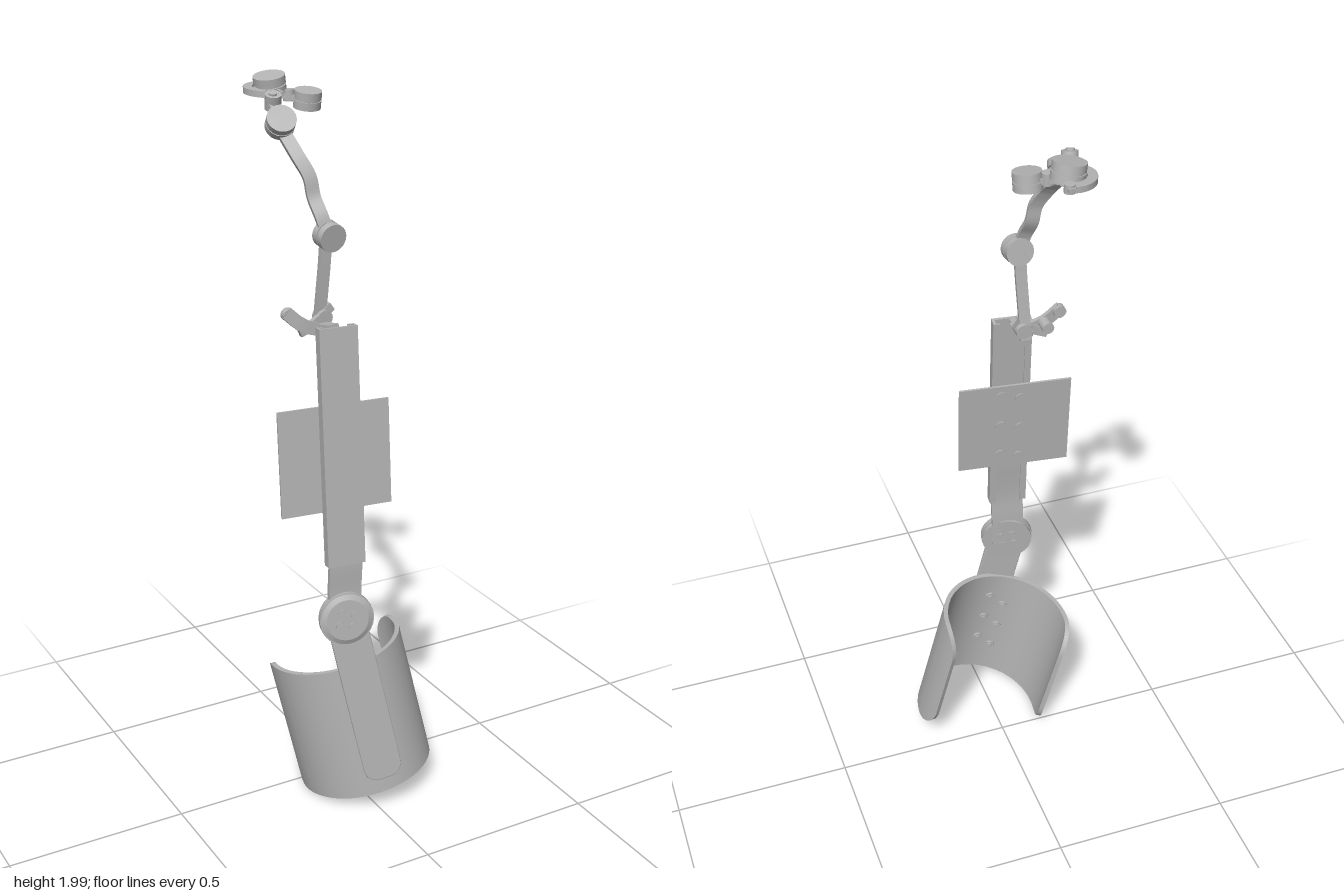
import * as THREE from 'three';
import { toCreasedNormals } from 'three/addons/utils/BufferGeometryUtils.js';

const V = (x, y, z) => new THREE.Vector3(x, y, z);

export function createModel() {
  const model = new THREE.Group();
  model.name = 'armBrace';
  const grey = new THREE.MeshStandardMaterial({ color: 0xb4b4b4 });
  grey.name = 'plain grey';

  function add(parent, name, geometry, x = 0, y = 0, z = 0) {
    const mesh = new THREE.Mesh(geometry, grey);
    mesh.name = name;
    mesh.position.set(x, y, z);
    parent.add(mesh);
    return mesh;
  }
  // Group whose y runs along "up" and whose x stays close to "side"
  function frame(name, pos, up, side) {
    const g = new THREE.Group();
    g.name = name;
    const y = up.clone().normalize();
    const x = side.clone().addScaledVector(y, -side.dot(y)).normalize();
    const z = x.clone().cross(y);
    g.quaternion.setFromRotationMatrix(new THREE.Matrix4().makeBasis(x, y, z));
    g.position.copy(pos);
    model.add(g);
    return g;
  }
  // Capped solid through four-cornered cross-sections
  function loft(sections) {
    const p = [];
    const tri = (...v) => v.forEach((q) => p.push(q.x, q.y, q.z));
    const quad = (a, b, c, d) => { tri(a, b, c); tri(a, c, d); };
    for (let i = 0; i < sections.length - 1; i++) {
      const a = sections[i], b = sections[i + 1];
      for (let k = 0; k < 4; k++) quad(a[k], a[(k + 1) % 4], b[(k + 1) % 4], b[k]);
    }
    const s = sections[0], e = sections[sections.length - 1];
    quad(s[0], s[3], s[2], s[1]);
    quad(e[0], e[1], e[2], e[3]);
    const g = new THREE.BufferGeometry();
    g.setAttribute('position', new THREE.Float32BufferAttribute(p, 3));
    return toCreasedNormals(g, 0.6);
  }
  // Flat bar swept along a smooth path
  function strip(name, points, width, thick, side, steps = 20) {
    const curve = new THREE.CatmullRomCurve3(points);
    const sections = [];
    for (let i = 0; i <= steps; i++) {
      const c = curve.getPointAt(i / steps), t = curve.getTangentAt(i / steps);
      const s = side.clone().addScaledVector(t, -side.dot(t)).normalize();
      const n = t.clone().cross(s);
      sections.push([[1, -1], [1, 1], [-1, 1], [-1, -1]].map(([a, b]) =>
        c.clone().addScaledVector(s, a * width / 2).addScaledVector(n, b * thick / 2)));
    }
    return add(model, name, loft(sections));
  }
  // Short cylinder turned to an axis
  function disc(name, pos, axis, r, h, parent = model, r2 = r) {
    const m = add(parent, name, new THREE.CylinderGeometry(r2, r, h, 32), pos.x, pos.y, pos.z);
    m.quaternion.setFromUnitVectors(V(0, 1, 0), axis.clone().normalize());
    return m;
  }
  // Joint of two stacked discs with a thin gap between
  function joint(name, pos, axis, r, h) {
    const a = axis.clone().normalize();
    for (const s of [-1, 1]) disc(name, pos.clone().addScaledVector(a, s * h * 0.27), a, r, h * 0.46);
    disc(name + 'Core', pos, a, r * 0.9, h * 0.9);
  }
  // Plate with rounded corners, standing on y = 0
  function roundedPlate(w, h, r, depth) {
    const x = w / 2, s = new THREE.Shape();
    s.moveTo(-x + r, 0).lineTo(x - r, 0).absarc(x - r, r, r, -Math.PI / 2, 0);
    s.lineTo(x, h - r).absarc(x - r, h - r, r, 0, Math.PI / 2);
    s.lineTo(-x + r, h).absarc(-x + r, h - r, r, Math.PI / 2, Math.PI);
    s.lineTo(-x, r).absarc(-x + r, r, r, Math.PI, Math.PI * 1.5);
    return new THREE.ExtrudeGeometry(s, {
      depth, curveSegments: 10, bevelEnabled: true, bevelSize: 0.003, bevelThickness: 0.003, bevelOffset: -0.003, bevelSegments: 2,
    });
  }

  // Open cuff with rounded flaps
  const cuff = frame('cuff', V(0.055, 0.043, 0.068), V(-0.187, 0.973, -0.137), V(0.982, 0.189, 0));
  const R = 0.19, wall = 0.013, L = 0.4, corner = 0.085, from = -2.1, to = 1.95, columns = 96;
  const sections = [];
  for (let i = 0; i <= columns; i++) {
    const k = (1 - Math.cos(Math.PI * i / columns)) / 2;
    const t = from + (to - from) * k;
    const d = Math.min(corner, R * Math.min(t - from, to - t));
    const inset = corner - Math.sqrt(Math.max(0, corner ** 2 - (corner - d) ** 2));
    const at = (r, y) => V(Math.sin(t) * r, y, Math.cos(t) * r);
    sections.push([at(R - wall, L - inset), at(R, L - inset), at(R, inset), at(R - wall, inset)]);
  }
  add(cuff, 'cuffShell', loft(sections));
  // Rivets inside the cuff behind the strap
  for (let i = 0; i < 3; i++) for (const s of [-1, 1]) {
    const a = -0.25 + s * 0.13, axis = V(-Math.sin(a), 0, -Math.cos(a));
    const y = 0.12 + i * 0.09 + s * 0.015;
    disc('cuffRivet', axis.clone().multiplyScalar(-(R - wall - 0.002)).setY(y), axis, 0.014, 0.008, cuff);
    disc('cuffRivetHead', axis.clone().multiplyScalar(-(R - wall - 0.006)).setY(y), axis, 0.008, 0.008, cuff);
  }

  // Lower strap from the cuff up to the elbow
  const lower = frame('lowerStrap', V(0.016, 0.1, 0.246), V(-0.095, 0.5, -0.06), V(0.95, 0.18, 0.26));
  add(lower, 'strapPlate', roundedPlate(0.108, 0.55, 0.04, 0.008), 0, 0, -0.006);

  // Elbow pivot with screws
  const elbow = frame('elbowPivot', V(-0.08, 0.6, 0.192), V(-0.08, 1, -0.1), V(0.96, 0.1, 0.25));
  const forward = V(0, 0, 1);
  disc('pivotBack', V(0, 0, -0.012), forward, 0.072, 0.014, elbow);
  disc('pivotDisc', V(0, 0, 0.003), forward, 0.075, 0.016, elbow);
  disc('pivotDome', V(0, 0, 0.014), forward, 0.073, 0.007, elbow, 0.058);
  for (let i = 0; i < 4; i++) {
    const a = 0.5 + i * Math.PI / 2;
    for (const z of [0.018, -0.02]) {
      disc('pivotScrew', V(Math.cos(a) * 0.025, Math.sin(a) * 0.025, z), forward, 0.011, 0.005, elbow);
    }
  }

  // Upper channel bar, open to the back
  const upper = frame('upperArm', V(-0.076, 0.755, 0.19), V(0.007, 0.645, -0.06), V(0.99, 0, 0.12));
  add(upper, 'channelFront', new THREE.BoxGeometry(0.106, 0.645, 0.008), 0, 0.3225, -0.004);
  for (const s of [-1, 1]) {
    add(upper, 'channelSide', new THREE.BoxGeometry(0.008, 0.645, 0.026), s * 0.049, 0.3225, -0.015);
    add(upper, 'channelLip', new THREE.BoxGeometry(0.018, 0.645, 0.004), s * 0.044, 0.3225, -0.026);
  }
  strip('elbowTongue', [V(-0.08, 0.585, 0.181), V(-0.078, 0.68, 0.179), V(-0.076, 0.76, 0.18), V(-0.074, 0.9, 0.166)],
    0.092, 0.014, V(0.98, 0, 0.14));

  // Mounting plate behind the bar
  add(upper, 'mountingPlate', new THREE.BoxGeometry(0.312, 0.288, 0.006), -0.011, 0.291, -0.031);
  for (let i = 0; i < 3; i++) for (const s of [-1, 1]) {
    disc('plateRivet', V(s * 0.027, 0.185 + i * 0.105 + s * 0.006, -0.035), forward, 0.015, 0.004, upper);
  }

  // Forked bracket at the top of the bar
  const bracketSide = V(0, 0, 1);
  strip('bracketLeftArm', [V(-0.105, 1.385, 0.08), V(-0.145, 1.4, 0.077), V(-0.187, 1.437, 0.07)], 0.012, 0.034, bracketSide, 8);
  strip('bracketRightArm', [V(-0.145, 1.375, 0.06), V(-0.1, 1.395, 0.06), V(-0.048, 1.432, 0.052)], 0.014, 0.024, bracketSide, 8);
  strip('bracketFoot', [V(-0.075, 1.395, 0.115), V(-0.08, 1.39, 0.085), V(-0.085, 1.385, 0.045)], 0.034, 0.014, V(1, 0, 0), 6);
  disc('bracketPin', V(-0.14, 1.4, 0.058), forward, 0.016, 0.045);
  disc('bracketTip', V(-0.18, 1.43, 0.066), forward, 0.017, 0.02);
  disc('bracketPivot', V(-0.072, 1.405, 0.05), forward, 0.021, 0.035);

  // Lower shoulder link
  const across = V(1, 0, 0.1);
  strip('lowerLink', [V(-0.08, 1.375, 0.044), V(-0.076, 1.47, 0.054), V(-0.072, 1.55, 0.061), V(-0.069, 1.63, 0.066)],
    0.03, 0.014, across);
  joint('middleJoint', V(-0.068, 1.625, 0.08), V(0.03, -0.15, 1), 0.037, 0.044);

  // Curved upper shoulder link
  strip('upperLink', [V(-0.074, 1.63, 0.082), V(-0.085, 1.675, 0.07), V(-0.093, 1.72, 0.045), V(-0.1, 1.77, 0.036),
    V(-0.12, 1.82, 0.01), V(-0.131, 1.86, -0.025), V(-0.14, 1.89, -0.045)], 0.034, 0.015, V(1, 0.2, 0.2), 30);
  joint('upperJoint', V(-0.14, 1.897, -0.04), V(-0.2, 0.62, 0.72), 0.038, 0.042);

  // Small hinge leading to the hoop
  const flat = V(1, 0, 0);
  strip('hingeArm', [V(-0.138, 1.912, -0.05), V(-0.14, 1.935, -0.08), V(-0.122, 1.942, -0.115), V(-0.115, 1.945, -0.14)],
    0.034, 0.02, flat, 10);
  disc('hinge', V(-0.14, 1.943, -0.08), V(-0.1, 0.95, 0.3), 0.021, 0.04);
  disc('hingeScrew', V(-0.143, 1.96, -0.075), V(-0.1, 0.95, 0.3), 0.011, 0.014);
  for (const x of [-0.128, -0.114, -0.1]) {
    strip('hingeRib', [V(x, 1.955, -0.105), V(x + 0.003, 1.957, -0.14)], 0.007, 0.01, flat, 2);
  }

  // Hoop round the top motor
  const hoop = [];
  for (let i = 0; i <= 10; i++) {
    const a = THREE.MathUtils.degToRad(112 + i * 16.5);
    hoop.push(V(-0.092 + Math.cos(a) * 0.058, 1.95 + i * 0.0008, -0.19 + Math.sin(a) * 0.058));
  }
  strip('hoop', hoop, 0.016, 0.024, V(0, 1, 0), 32);
  disc('hoopEnd', V(-0.077, 1.957, -0.242), V(0, 1, 0), 0.014, 0.022);
  strip('hoopTab', [V(-0.09, 1.958, -0.252), V(-0.067, 1.958, -0.254)], 0.01, 0.014, V(0, 1, 0), 2);

  // Top motor, side motor and the arm between them
  const tilt = V(-0.16, 0.97, 0.1);
  joint('topMotor', V(-0.097, 1.969, -0.182), tilt, 0.042, 0.046);
  disc('topMotorShaft', V(-0.094, 1.948, -0.185), tilt, 0.018, 0.03);
  strip('motorArm', [V(-0.092, 1.944, -0.185), V(-0.062, 1.94, -0.155), V(-0.015, 1.93, -0.13)], 0.014, 0.026, V(0, 1, 0), 8);
  disc('motorArmPin', V(-0.057, 1.942, -0.153), V(0, 1, 0), 0.015, 0.03);
  joint('sideMotor', V(-0.016, 1.932, -0.128), V(0.02, 0.98, 0.15), 0.036, 0.046);

  return model;
}
